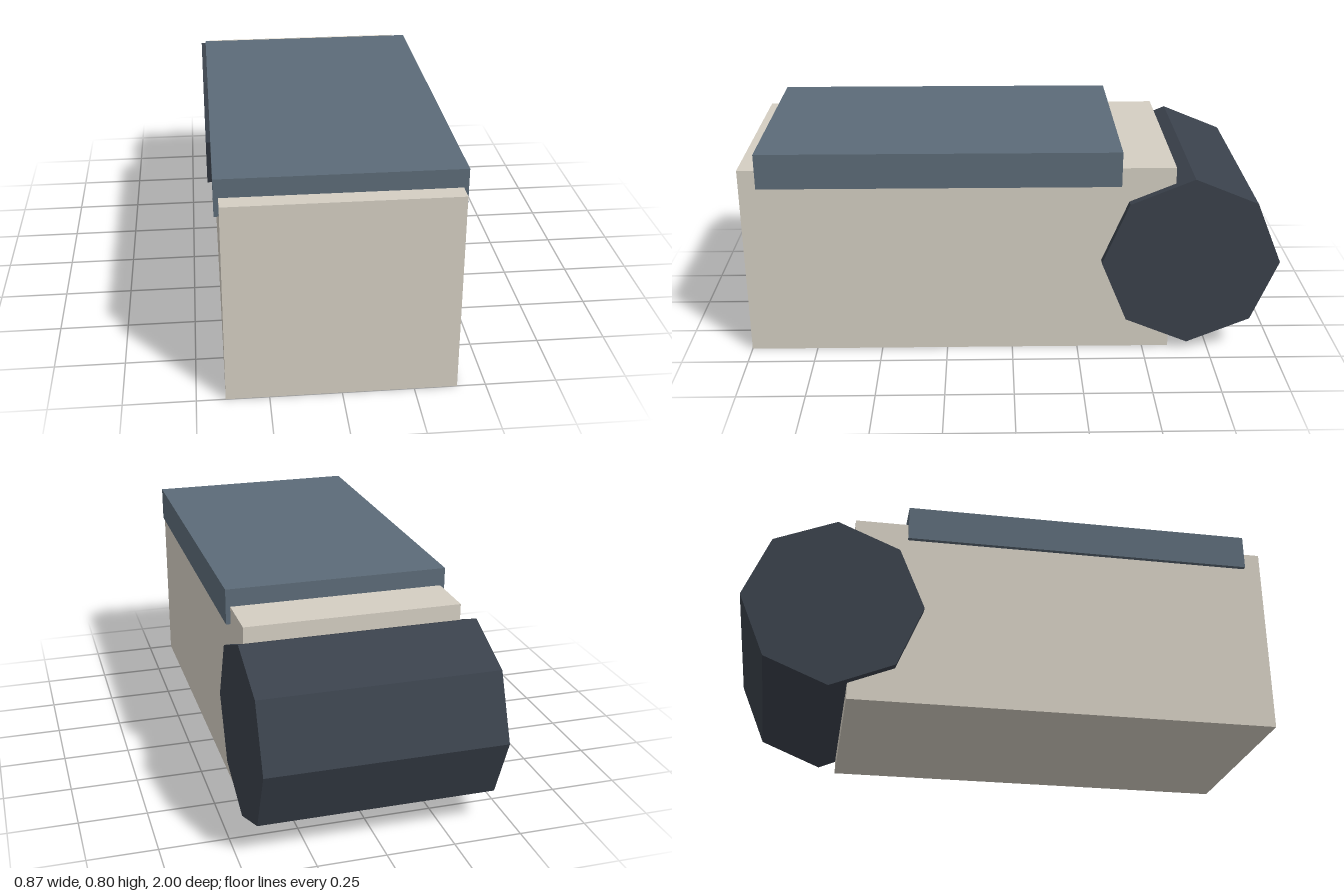
import * as THREE from 'three';

export function createModel() {
  const model = new THREE.Group();

  const add = (name, geometry, color, x, y, z) => {
    const material = new THREE.MeshStandardMaterial({ color, flatShading: true });
    const mesh = new THREE.Mesh(geometry, material);
    mesh.name = name;
    mesh.position.set(x, y, z);
    model.add(mesh);
  };

  // Long main block resting on the ground
  add('body', new THREE.BoxGeometry(0.8, 0.7333, 1.6), 0xd4cec2, 0, 0.3667, 0.2);

  // Slightly wider slab sunk into the top
  add('topPlate', new THREE.BoxGeometry(0.8333, 0.1333, 1.3333), 0x5c6b78, 0, 0.7333, 0.2667);

  // Eight-sided drum lying across the rear
  const drum = new THREE.CylinderGeometry(0.3333, 0.3333, 0.8667, 8).rotateZ(Math.PI / 2);
  add('rearDrum', drum, 0x3a414b, 0, 0.3667, -0.6667);

  return model;
}
